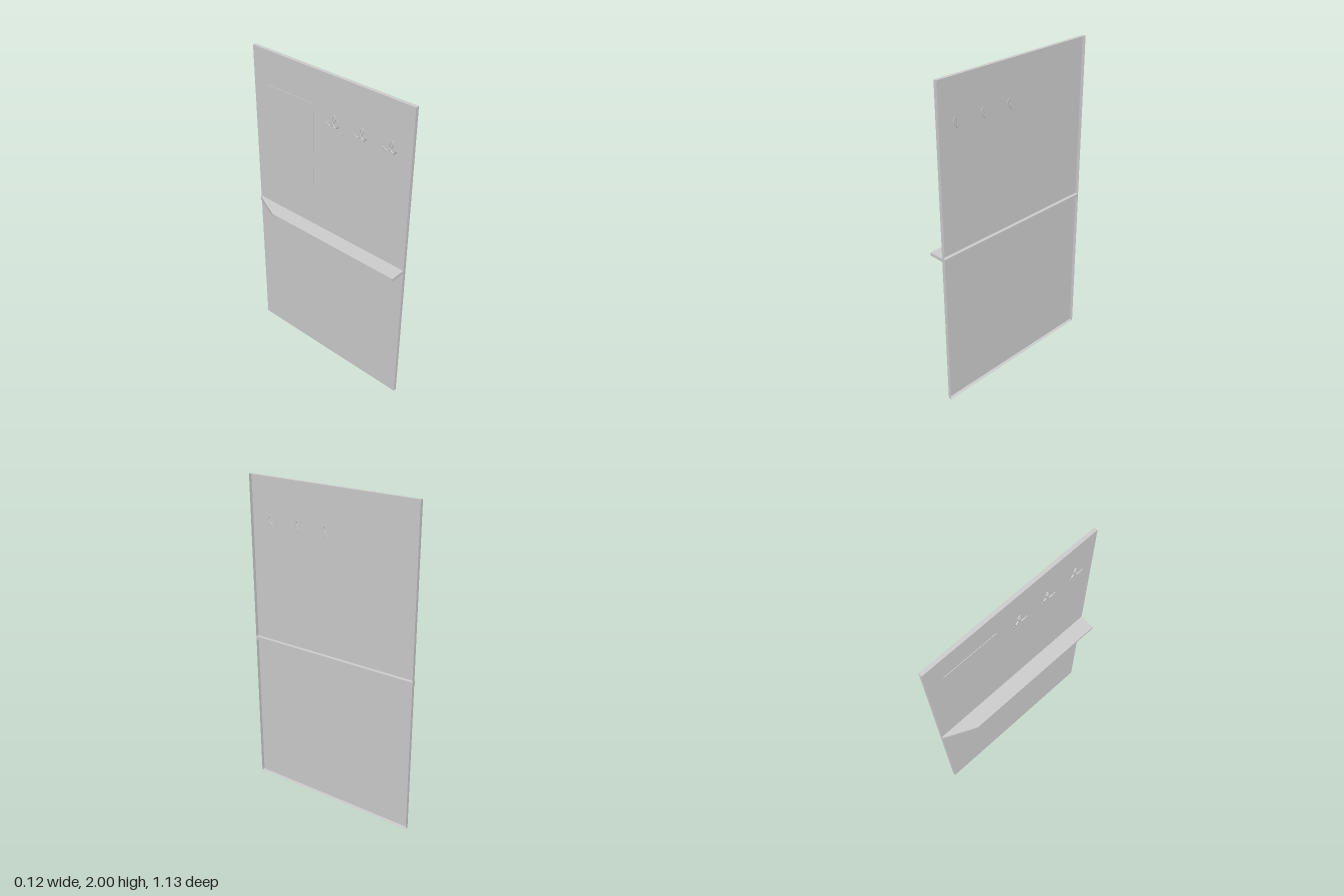
import * as THREE from 'three';

const HALF = 0.565; // half the width of the board along z

export function createModel() {
  const group = new THREE.Group();
  const material = new THREE.MeshStandardMaterial({ color: 0xcccccc, side: THREE.DoubleSide });
  const add = (name, geometry, x = 0, y = 0, z = 0) => {
    const mesh = new THREE.Mesh(geometry, material);
    mesh.name = name;
    mesh.position.set(x, y, z);
    group.add(mesh);
    return mesh;
  };

  // Tall wall board, open on the wall side (+x): drop the first box face
  const board = new THREE.BoxGeometry(0.022, 2, HALF * 2);
  board.setIndex(Array.from(board.index.array).slice(6));
  add('wallBoard', board, 0.049, 1, 0);

  // Narrow shelf with one end tapered towards the board
  const outline = new THREE.Shape(
    [[0.06, -HALF], [0.03, -HALF], [-0.06, -0.37], [-0.06, HALF], [0.06, HALF]]
      .map(([x, z]) => new THREE.Vector2(x, -z)));
  const shelf = new THREE.ExtrudeGeometry(outline, { depth: 0.02, bevelEnabled: false });
  shelf.rotateX(-Math.PI / 2);
  add('shelf', shelf, 0, 0.965, 0);

  // Thin mirror on the board
  add('mirror', new THREE.BoxGeometry(0.003, 0.52, 0.35), 0.0365, 1.53, -0.285);

  // Looped wire hooks, their tails bowing away from the board
  const loop = [
    [-0.042, 1.72], [-0.028, 1.703], [-0.006, 1.717], [0.011, 1.748], [0.004, 1.768],
    [-0.008, 1.75], [-0.003, 1.715], [0.014, 1.7], [0.033, 1.712], [0.042, 1.728],
  ].map(([z, y], i) => new THREE.Vector3(0.036 - 6 * z * z + (i > 4 ? -0.001 : 0.001), y, z));
  const wire = new THREE.TubeGeometry(new THREE.CatmullRomCurve3(loop), 64, 0.004, 8);
  const tip = new THREE.SphereGeometry(0.004, 8, 6);
  for (const z of [0.04, 0.235, 0.433]) {
    const hook = add('hook', wire, 0, 0, z);
    for (const end of [loop[0], loop[loop.length - 1]]) {
      const cap = new THREE.Mesh(tip, material);
      cap.name = 'hookTip';
      cap.position.copy(end);
      hook.add(cap);
    }
  }
  return group;
}
